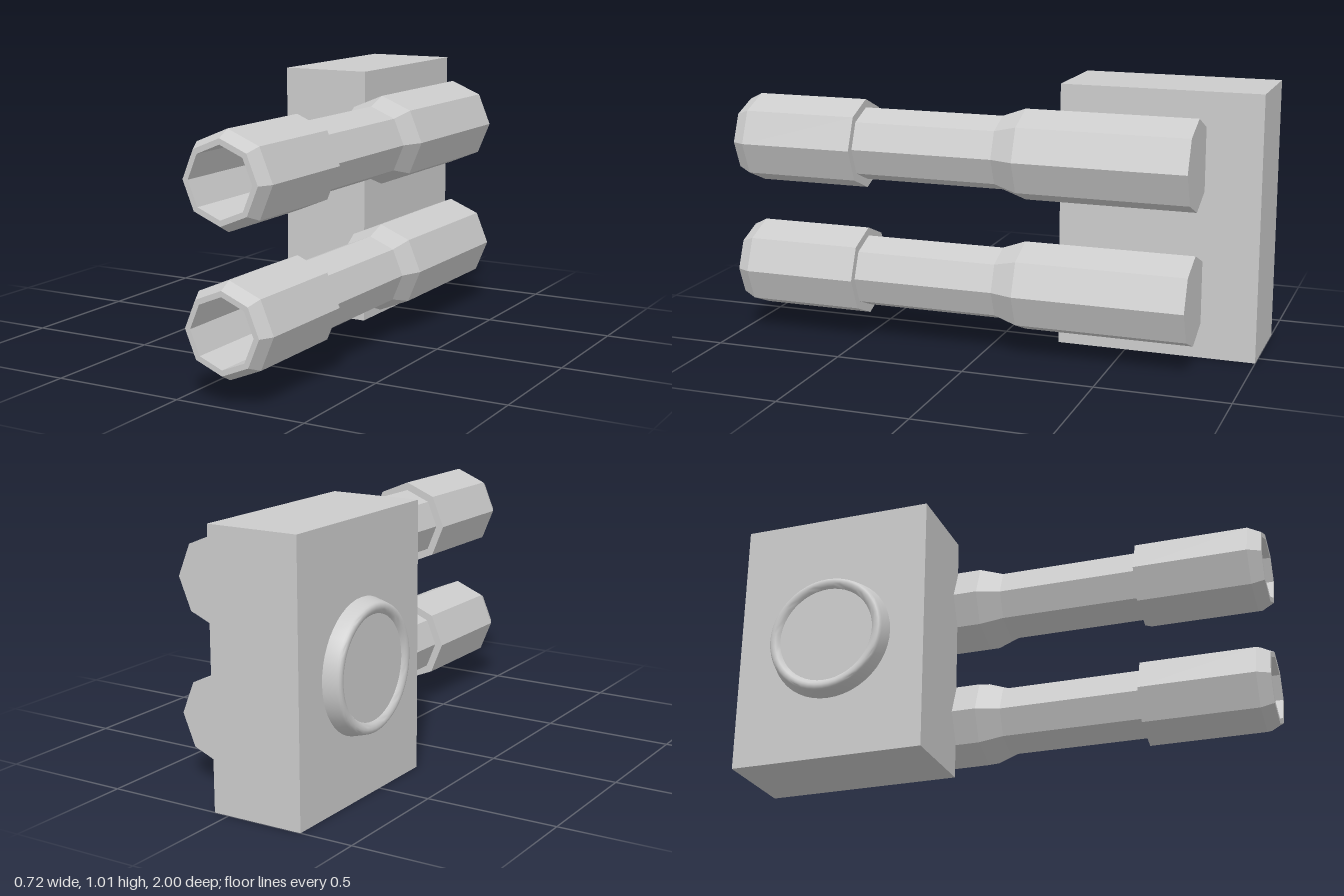
import * as THREE from 'three';
import { toCreasedNormals } from 'three/addons/utils/BufferGeometryUtils.js';

const flat = new THREE.MeshStandardMaterial({ color: 0xcccccc, flatShading: true });
const smooth = new THREE.MeshStandardMaterial({ color: 0xcccccc });

// Lathe from [radius, height] pairs, listed bottom to top along the outside
function lathe(pairs, sides) {
  return new THREE.LatheGeometry(pairs.map(([r, h]) => new THREE.Vector2(r, h)), sides);
}

export function createModel() {
  const model = new THREE.Group();
  model.name = 'twinBarrelMount';

  // Rectangular mounting block
  const block = new THREE.Mesh(new THREE.BoxGeometry(0.358, 1.012, 0.765), flat);
  block.name = 'mountBlock';
  block.position.set(-0.119, 0.506, -0.6175);
  model.add(block);

  // Two hollow octagonal barrels: breech, taper, slim neck, muzzle, bore
  const barrelGeometry = lathe([
    [0, -0.79], [0.172, -0.79], [0.172, -0.14], [0.14, -0.05], [0.14, 0.505],
    [0.172, 0.505], [0.172, 0.95], [0.146, 1], [0.125, 1], [0.125, 0.505], [0, 0.505],
  ], 8).rotateX(Math.PI / 2);
  for (const [name, y] of [['lowerBarrel', 0.255], ['upperBarrel', 0.761]]) {
    const barrel = new THREE.Mesh(barrelGeometry, flat);
    barrel.name = name;
    barrel.position.set(0.185, y, 0);
    model.add(barrel);
  }

  // Round pivot cap with a rolled rim and shallow recess, on the right side
  const capGeometry = lathe([
    [0.247, -0.01], [0.246, 0], [0.233, 0.048], [0.23, 0.055], [0.224, 0.06], [0.215, 0.061],
    [0.206, 0.059], [0.198, 0.054], [0.191, 0.046], [0, 0.046],
  ], 48).rotateZ(Math.PI / 2);
  const cap = new THREE.Mesh(toCreasedNormals(capGeometry, 0.75), smooth);
  cap.name = 'pivotCap';
  cap.position.set(-0.298, 0.485, -0.617);
  model.add(cap);

  return model;
}
